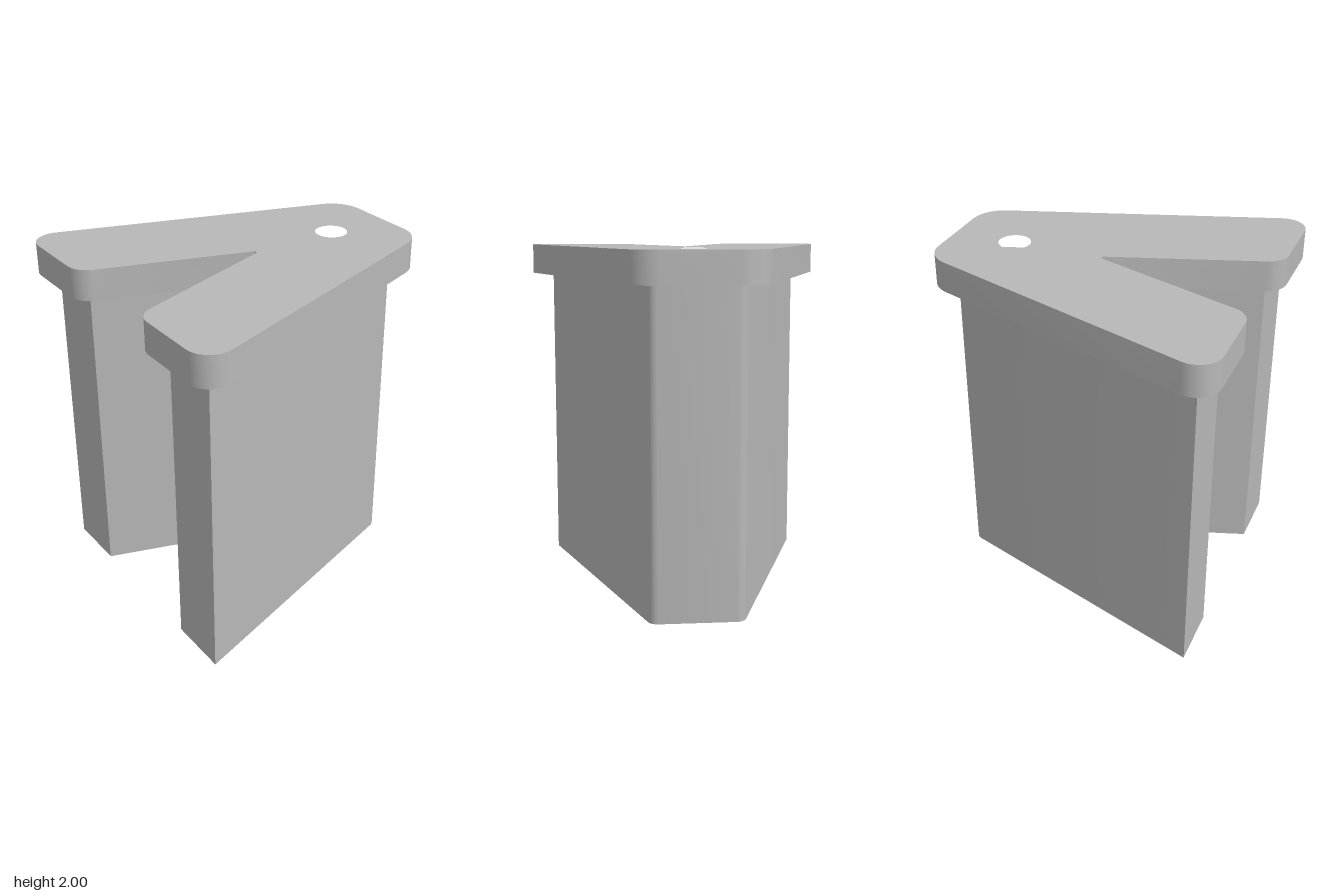
import * as THREE from 'three';
import { toCreasedNormals } from 'three/addons/utils/BufferGeometryUtils.js';

// Closed outline from corners [x, z, radius], each corner rounded by a tangent arc
function roundedOutline(corners) {
  const n = corners.length, steps = 12, points = [];
  corners.forEach(([x, z, r], i) => {
    const p = new THREE.Vector2(x, -z);
    if (!r) { points.push(p); return; }
    const toward = ([cx, cz]) => new THREE.Vector2(cx, -cz).sub(p).normalize();
    const a = toward(corners[(i + n - 1) % n]);
    const b = toward(corners[(i + 1) % n]);
    const half = Math.acos(a.dot(b)) / 2;
    const centre = a.clone().add(b).normalize().multiplyScalar(r / Math.sin(half)).add(p);
    const start = a.multiplyScalar(r / Math.tan(half)).add(p).sub(centre);
    const end = b.multiplyScalar(r / Math.tan(half)).add(p).sub(centre);
    const sweep = Math.atan2(start.cross(end), start.dot(end));
    for (let s = 0; s <= steps; s++) {
      points.push(start.clone().rotateAround(new THREE.Vector2(), sweep * s / steps).add(centre));
    }
  });
  return new THREE.Shape(points);
}

// Symmetric two-legged outline: right half from back to front, then its mirror
function leggedOutline(half, apex) {
  const mirrored = half.map(([x, z, r]) => [-x, z, r]).reverse();
  return roundedOutline([...half, apex, ...mirrored]);
}

// Vertical prism standing at the given height
function prism(name, shape, bottom, height, material) {
  const raw = new THREE.ExtrudeGeometry(shape, { depth: height, bevelEnabled: false, curveSegments: 32 });
  raw.rotateX(-Math.PI / 2);
  raw.translate(0, bottom, 0);
  const mesh = new THREE.Mesh(toCreasedNormals(raw, 0.5), material);
  mesh.name = name;
  return mesh;
}

export function createModel() {
  const group = new THREE.Group();
  group.name = 'leggedPlug';
  const grey = new THREE.MeshStandardMaterial({ color: 0xb8b8b8 });
  grey.name = 'light grey';

  // Tall body with square leg ends and rounded back corners
  const body = leggedOutline(
    [[0.254, -0.795, 0.06], [0.775, 0.8, 0], [0.418, 0.8, 0]],
    [0, -0.454, 0.07]
  );
  group.add(prism('body', body, 0, 1.82, grey));

  // Overhanging top plate, with a round hole whose floor is the body's top
  const plate = leggedOutline(
    [[0.343, -0.92, 0.19], [0.952, 0.92, 0.13], [0.325, 0.92, 0.13]],
    [0, -0.055, 0.015]
  );
  plate.holes.push(new THREE.Path().absarc(0, 0.55, 0.092, 0, Math.PI * 2, true));
  group.add(prism('topPlate', plate, 1.82, 0.18, grey));

  return group;
}
